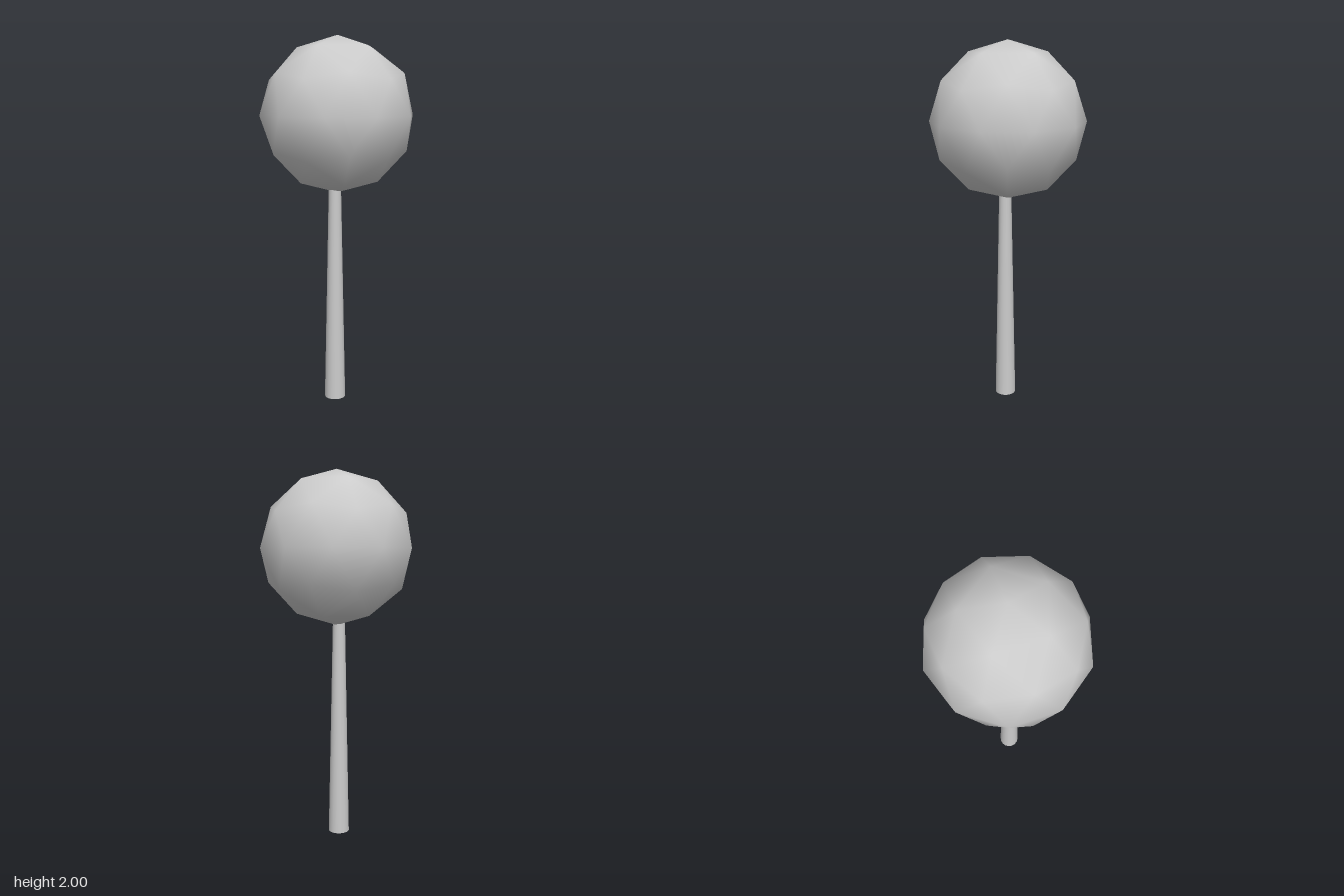
import * as THREE from 'three';

export function createModel() {
  const model = new THREE.Group();

  // Ball crown: smooth-shaded icosphere, tipped so a corner points straight up
  const radius = 0.414;
  const crownGeometry = new THREE.IcosahedronGeometry(radius, 1);
  crownGeometry.rotateZ(-Math.atan(2 / (1 + Math.sqrt(5))));
  const crown = new THREE.Mesh(crownGeometry, new THREE.MeshStandardMaterial({ color: 0xcccccc }));
  crown.name = 'crown';
  crown.position.y = 2 - radius;
  model.add(crown);

  // Trunk: slim open tapered tube, slightly off-centre, ending inside the crown
  const height = 1.28;
  const trunk = new THREE.Mesh(
    new THREE.CylinderGeometry(0.032, 0.058, height, 16, 1, true),
    new THREE.MeshStandardMaterial({ color: 0xcccccc, side: THREE.DoubleSide })
  );
  trunk.name = 'trunk';
  trunk.position.set(-0.018, height / 2, 0.005);
  model.add(trunk);

  return model;
}
